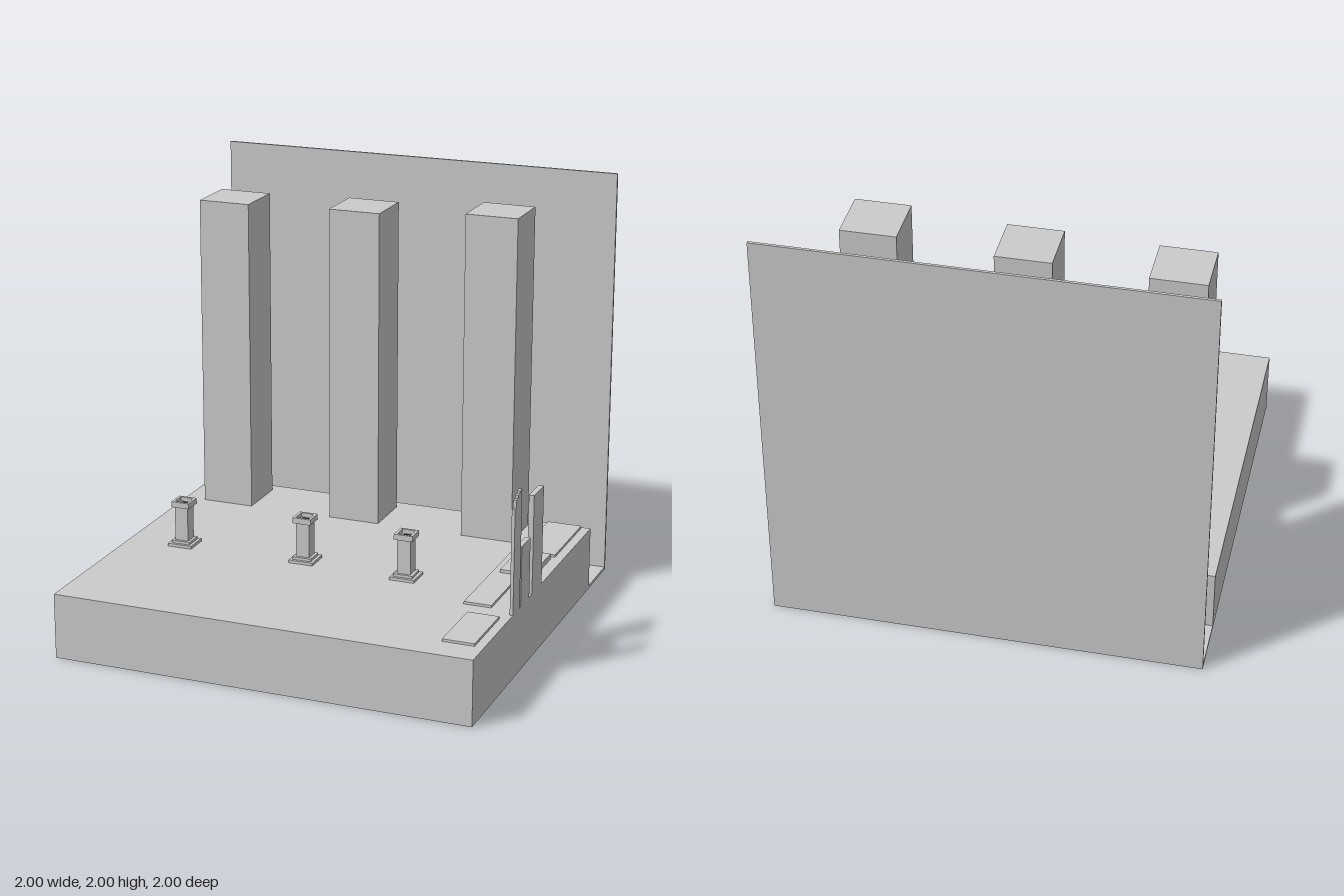
import * as THREE from 'three';

const grey = new THREE.MeshStandardMaterial({ color: 0xcccccc, flatShading: true });
const dark = new THREE.MeshStandardMaterial({ color: 0x222222, flatShading: true });

// Box given by its minimum and maximum on each axis
function block(parent, name, [x0, x1], [y0, y1], [z0, z1], material = grey) {
  const mesh = new THREE.Mesh(new THREE.BoxGeometry(x1 - x0, y1 - y0, z1 - z0), material);
  mesh.position.set((x0 + x1) / 2, (y0 + y1) / 2, (z0 + z1) / 2);
  mesh.name = name;
  parent.add(mesh);
  return mesh;
}

const around = (w) => [-w / 2, w / 2];

function squarePath(w, Type) {
  const h = w / 2;
  return new Type([[-h, -h], [h, -h], [h, h], [-h, h]].map(([x, y]) => new THREE.Vector2(x, y)));
}

// Stepped foot, square shaft and a hollow rim around a dark socket
function makePedestal(x, y, z) {
  const g = new THREE.Group();
  g.name = 'pedestal';
  block(g, 'pedestalFoot', around(0.12), [0, 0.014], around(0.12));
  block(g, 'pedestalStep', around(0.092), [0.014, 0.027], around(0.092));
  block(g, 'pedestalShaft', around(0.065), [0.027, 0.2], around(0.065));
  const rim = squarePath(0.09, THREE.Shape);
  rim.holes.push(squarePath(0.064, THREE.Path));
  const geo = new THREE.ExtrudeGeometry(rim, { depth: 0.027, bevelEnabled: false });
  geo.rotateX(-Math.PI / 2);
  const cap = new THREE.Mesh(geo, grey);
  cap.name = 'pedestalRim';
  cap.position.y = 0.193;
  g.add(cap);
  block(g, 'pedestalSocket', around(0.04), [0.2, 0.203], around(0.04), dark);
  g.position.set(x, y, z);
  return g;
}

export function createModel() {
  const model = new THREE.Group();
  model.name = 'courtyard';
  const top = 0.31;

  // Raised floor, low strip behind it and back wall
  block(model, 'platform', [-1, 1], [0, top], [-0.72, 1]);
  block(model, 'lowerFloor', [-1, 1], [0, 0.015], [-1, -0.72]);
  block(model, 'backWall', [-1, 1], [0, 2], [-1, -0.987]);

  // Tall square pillars
  for (const [x, h] of [[-0.772, 1.835], [-0.103, 1.85], [0.577, 1.887]]) {
    block(model, 'pillar', [x - 0.127, x + 0.127], [top, h], [-0.657, -0.4]);
  }

  for (const [x, z] of [[-0.728, 0.195], [-0.113, 0.183], [0.4, 0.21]]) {
    model.add(makePedestal(x, top, z));
  }

  // Flat slabs along the left edge; the two long ones join at a corner
  const y = top + 0.012;
  const slab = new THREE.Shape([
    [0.79, -0.707], [0.957, -0.707], [0.957, -0.287], [0.883, -0.287],
    [0.883, 0.418], [0.753, 0.418], [0.753, -0.4], [0.79, -0.4],
  ].map(([x, z]) => new THREE.Vector2(x, -z)));
  const slabGeo = new THREE.ExtrudeGeometry(slab, { depth: 0.012, bevelEnabled: false });
  slabGeo.rotateX(-Math.PI / 2);
  const joined = new THREE.Mesh(slabGeo, grey);
  joined.name = 'joinedSlabs';
  joined.position.y = top;
  model.add(joined);
  block(model, 'upperSlab', [0.79, 0.945], [top, 0.337], [-0.257, 0.022]);
  block(model, 'frontSlab', [0.808, 0.957], [top, y], [0.525, 0.857]);

  // Thin upright fragments on the edge, the front one with a broken, stepped top
  block(model, 'tallPanel', [0.975, 1], [top, 0.782], [0.053, 0.195]);
  block(model, 'shortPanel', [0.975, 1], [top, 0.597], [0.235, 0.357]);
  const broken = new THREE.Shape([
    [0.372, top], [0.467, top], [0.467, 0.808], [0.45, 0.808], [0.45, 0.845],
    [0.427, 0.845], [0.427, 0.86], [0.402, 0.86], [0.402, 0.873], [0.372, 0.873],
  ].map(([z, h]) => new THREE.Vector2(-z, h)));
  const brokenGeo = new THREE.ExtrudeGeometry(broken, { depth: 0.015, bevelEnabled: false });
  brokenGeo.rotateY(Math.PI / 2);
  const panel = new THREE.Mesh(brokenGeo, grey);
  panel.name = 'brokenPanel';
  panel.position.x = 0.985;
  model.add(panel);

  return model;
}
